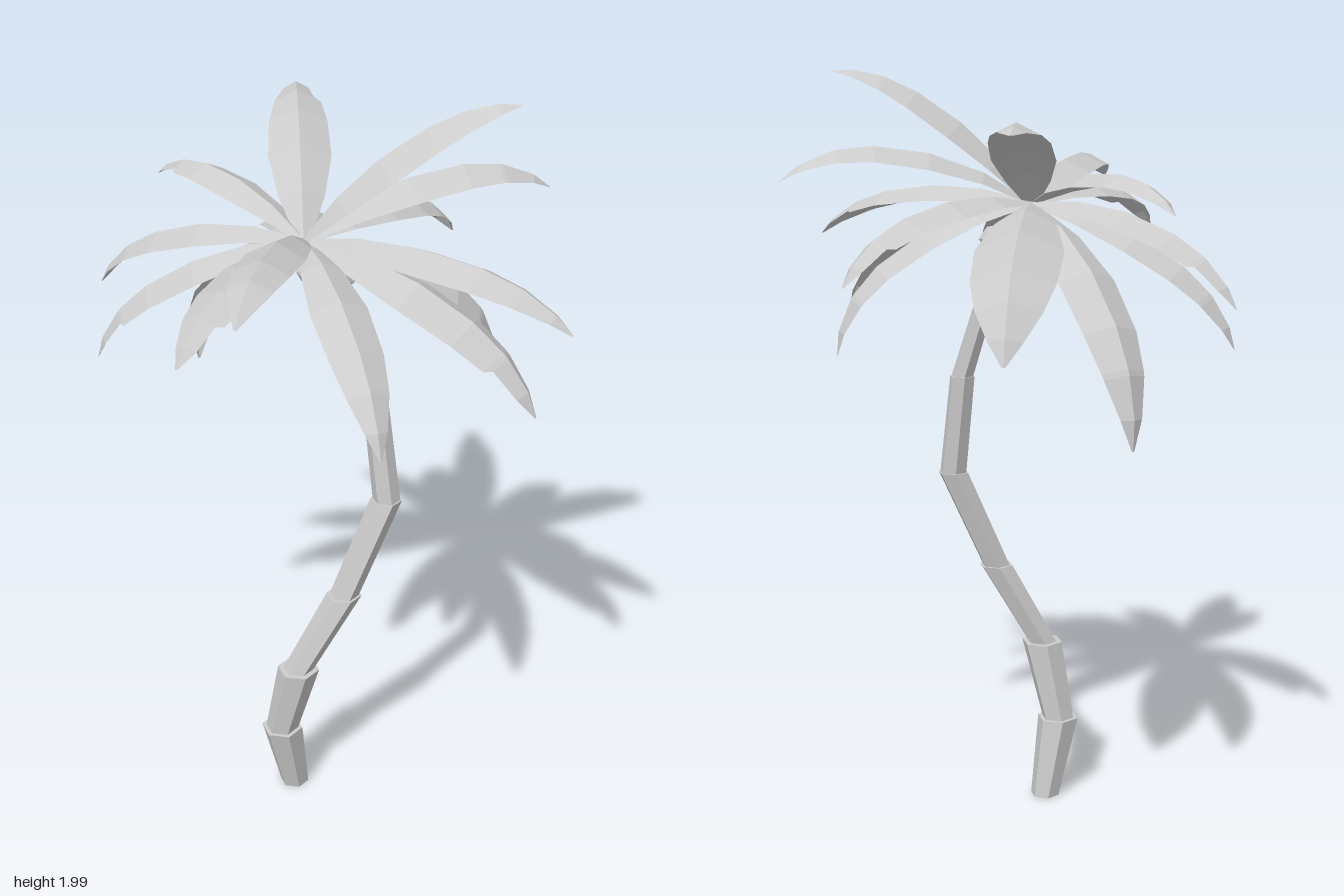
import * as THREE from 'three';

const barkMat = new THREE.MeshStandardMaterial({ color: 0xcccccc, flatShading: true });
const leafMat = new THREE.MeshStandardMaterial({ color: 0xcccccc, flatShading: true, side: THREE.DoubleSide });

const CROWN = new THREE.Vector3(-0.09, 1.66, 0.015);

// Trunk joints: centre x, y, z, radius below the joint, radius above it
const JOINTS = [
  [-0.142, 0, 0.04, 0.04, 0.04],
  [-0.183, 0.22, 0.06, 0.057, 0.045],
  [-0.145, 0.435, 0.095, 0.057, 0.041],
  [-0.018, 0.66, 0.112, 0.047, 0.039],
  [0.102, 0.93, 0.107, 0.042, 0.037],
  [0.083, 1.2, 0.07, 0.034, 0.03],
  [0.015, 1.45, 0.03, 0.027, 0.026],
  [-0.05, 1.62, 0.015, 0.024, 0.024],
];

// Fronds: tip x, y, z, greatest width, arch height, notched side (-1, 0, 1)
const FRONDS = [
  [0.13, 1.35, -0.635, 0.22, 0.1, 0],
  [0.095, 1.86, -0.555, 0.16, 0.075, 1],
  [-0.215, 1.11, -0.515, 0.155, 0.13, 0],
  [-0.305, 1.67, -0.52, 0.12, 0.08, -1],
  [-0.5, 1.43, -0.42, 0.14, 0.09, 1],
  [-0.56, 1.3, -0.25, 0.155, 0.09, -1],
  [-0.525, 1.555, 0.38, 0.14, 0.08, -1],
  [-0.425, 1.69, 0.505, 0.145, 0.08, 0],
  [-0.13, 1.37, 0.625, 0.14, 0.1, 0],
  [0.395, 1.54, 0.515, 0.15, 0.08, -1],
  [0.32, 1.33, 0.5, 0.17, 0.1, 1],
  [0.4, 1.99, 0.18, 0.17, 0.07, 0],
  [0.555, 1.72, 0.055, 0.155, 0.1, 0],
  [0.445, 1.49, -0.28, 0.145, 0.09, -1],
  [0.415, 1.265, 0.075, 0.155, 0.11, 0],
];

// Tapered segment between two joints, with level rims
function trunkSegment(a, b) {
  const h = b[1] - a[1];
  const geo = new THREE.CylinderGeometry(b[3], a[4], h, 6);
  const p = geo.attributes.position;
  for (let i = 0; i < p.count; i++) {
    const t = p.getY(i) / h + 0.5;
    p.setXYZ(i,
      p.getX(i) + THREE.MathUtils.lerp(a[0], b[0], t),
      a[1] + t * h,
      p.getZ(i) + THREE.MathUtils.lerp(a[2], b[2], t));
  }
  geo.computeVertexNormals();
  return new THREE.Mesh(geo, barkMat);
}

// Arched leaf folded along its raised midrib, optionally torn on one edge
function frond([x, y, z, width, arch, notch]) {
  const tip = new THREE.Vector3(x, y, z);
  const chord = tip.clone().sub(CROWN);
  const side = new THREE.Vector3(-chord.z, 0, chord.x).normalize();
  const up = new THREE.Vector3().crossVectors(side, chord).normalize();
  if (up.y < 0) up.negate();
  const handle = (t, k) => CROWN.clone().addScaledVector(chord, t).addScaledVector(up, arch * k);
  const curve = new THREE.CubicBezierCurve3(CROWN, handle(0.3, 1.25), handle(0.8, 1.65), tip);

  // Rows along the leaf: position, half-width factor, factor on a torn edge
  const rows = [
    [0, 0.2, 0.2], [0.2, 0.72, 0.72], [0.4, 1, 1], [0.6, 0.94, 0.94],
    [0.74, 0.75, 0.78], [0.76, 0.72, 0.56], [0.9, 0.38, 0.4], [1, 0.04, 0.04],
  ];
  const verts = [], index = [];
  rows.forEach(([t, plain, torn], i) => {
    const mid = curve.getPoint(t);
    const down = new THREE.Vector3().crossVectors(curve.getTangent(t), side).normalize();
    if (down.dot(up) > 0) down.negate();
    for (const s of [-1, 0, 1]) {
      const half = s * (s === notch ? torn : plain) * width / 2;
      const v = mid.clone().addScaledVector(side, half).addScaledVector(down, Math.abs(half) * 0.5);
      verts.push(v.x, v.y, v.z);
    }
    if (i === 0) return;
    for (let k = 0; k < 2; k++) {
      const a = (i - 1) * 3 + k, b = a + 3;
      index.push(a, a + 1, b, a + 1, b + 1, b);
    }
  });
  const geo = new THREE.BufferGeometry();
  geo.setAttribute('position', new THREE.Float32BufferAttribute(verts, 3));
  geo.setIndex(index);
  geo.computeVertexNormals();
  return new THREE.Mesh(geo, leafMat);
}

export function createModel() {
  const model = new THREE.Group();
  model.name = 'palmTree';

  // Trunk
  const trunk = new THREE.Group();
  trunk.name = 'trunk';
  for (let i = 1; i < JOINTS.length; i++) {
    const seg = trunkSegment(JOINTS[i - 1], JOINTS[i]);
    seg.name = `trunkSegment${i}`;
    trunk.add(seg);
  }

  // Crown of fronds
  const crown = new THREE.Group();
  crown.name = 'fronds';
  FRONDS.forEach((f, i) => {
    const leaf = frond(f);
    leaf.name = `frond${i + 1}`;
    crown.add(leaf);
  });

  // Coconuts clustered under the crown
  const nuts = new THREE.Group();
  nuts.name = 'coconuts';
  for (let i = 0; i < 4; i++) {
    const a = 0.5 + i * Math.PI / 2;
    const nut = new THREE.Mesh(new THREE.IcosahedronGeometry(0.038, 0), barkMat);
    nut.name = `coconut${i + 1}`;
    nut.position.set(-0.03 + 0.042 * Math.cos(a), 1.565 + 0.01 * (i % 2), 0.018 + 0.042 * Math.sin(a));
    nut.rotation.set(i, a, 0);
    nuts.add(nut);
  }

  model.add(trunk, crown, nuts);
  return model;
}
